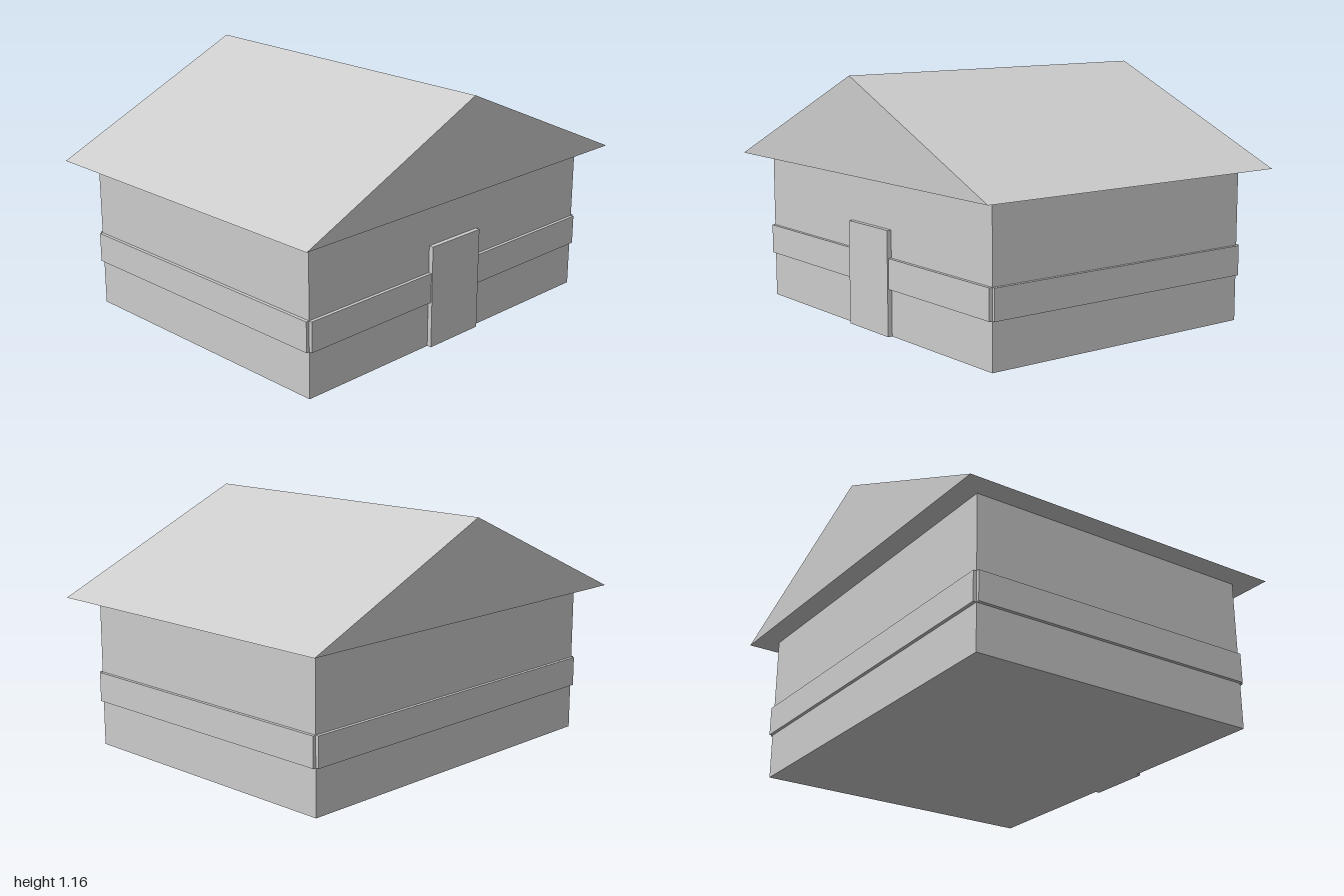
import * as THREE from 'three';

export function createModel() {
  const house = new THREE.Group();
  house.name = 'house';
  const grey = new THREE.MeshStandardMaterial({ color: 0xcccccc });
  grey.name = 'light grey';

  const W = 0.89, D = 0.714, EAVE = 0.717, RIDGE = 1.16;

  const add = (name, geometry, x = 0, y = 0, z = 0) => {
    const mesh = new THREE.Mesh(geometry, grey);
    mesh.name = name;
    mesh.position.set(x, y, z);
    house.add(mesh);
  };
  // Box standing on height y
  const box = (name, w, h, d, x, y, z) =>
    add(name, new THREE.BoxGeometry(w, h, d), x, y + h / 2, z);

  // Main body
  box('walls', W * 2, EAVE, D * 2, 0, 0, 0);

  // Gabled roof, a solid prism overhanging on all sides
  const gable = new THREE.Shape([
    new THREE.Vector2(-1, EAVE),
    new THREE.Vector2(1, EAVE),
    new THREE.Vector2(0, RIDGE),
  ]);
  add('roof', new THREE.ExtrudeGeometry(gable, { depth: 1.64, bevelEnabled: false }), 0, 0, -0.82);

  // Trim strips, one per wall, leaving the corners open
  const T = 0.016, BAND_Y = 0.217, BAND_H = 0.14;
  for (const [side, s] of [['left', 1], ['right', -1]]) {
    box(side + 'Band', T, BAND_H, D * 2, s * (W + T / 2), BAND_Y, 0);
  }
  for (const [side, s] of [['front', 1], ['back', -1]]) {
    box(side + 'Band', W * 2, BAND_H, T, 0, BAND_Y, s * (D + T / 2));
  }

  // Door slab
  box('door', 0.316, 0.484, 0.022, 0, 0, D + 0.011);

  return house;
}
